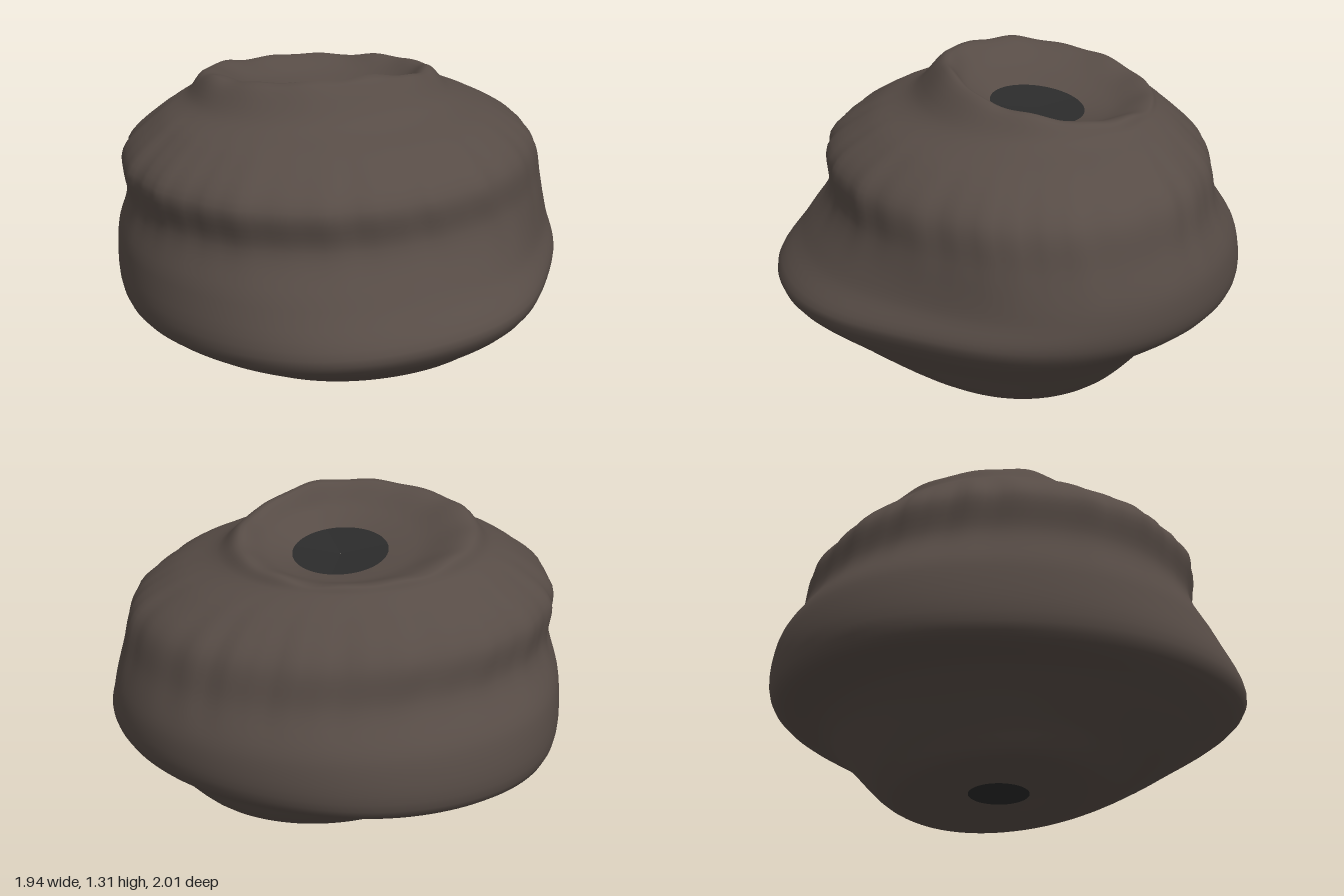
import * as THREE from 'three';

const COLS = 144;
const STEPS = 6;

// Swelling centred on one direction, measured in degrees from the front towards +x.
const bump = (a, deg) => Math.max(0, Math.cos(a - THREE.MathUtils.degToRad(deg))) ** 10;

// Uneven outline seen from above.
const outline = (a) => 0.045 * bump(a, -35) - 0.075 * bump(a, 48) - 0.025 * bump(a, 142)
  + 0.025 * bump(a, 215) - 0.025 * bump(a, 248);

// One tilted oval cross-section; lobe sets how strongly it follows the uneven outline.
function ring({ rx, rz = rx, cx = 0, cz = 0, y, tx = 0, tz = 0, lobe = 0 }) {
  return Array.from({ length: COLS }, (_, j) => {
    const a = (j / COLS) * Math.PI * 2;
    const k = 1 + lobe * outline(a);
    const s = Math.sin(a), c = Math.cos(a);
    return new THREE.Vector3(cx + rx * k * s, y + tx * s + tz * c, cz + rz * k * c);
  });
}

// Smooth skin through a stack of rings, ordered from the underside up and over.
function loft(rings, shape) {
  const rows = (rings.length - 1) * STEPS;
  const positions = new Float32Array((rows + 1) * COLS * 3);
  const index = [];
  for (let j = 0; j < COLS; j++) {
    const column = new THREE.CatmullRomCurve3(rings.map((r) => r[j]));
    for (let i = 0; i <= rows; i++) {
      const p = column.getPoint(i / rows);
      if (shape) shape(p, i / STEPS, (j / COLS) * Math.PI * 2);
      p.toArray(positions, (i * COLS + j) * 3);
      if (i === rows) continue;
      const a = i * COLS + j, b = i * COLS + ((j + 1) % COLS);
      index.push(a, b, b + COLS, a, b + COLS, a + COLS);
    }
  }
  const geometry = new THREE.BufferGeometry();
  geometry.setAttribute('position', new THREE.BufferAttribute(positions, 3));
  geometry.setIndex(index);
  geometry.computeVertexNormals();
  return geometry;
}

// Vertical pleats around the crown, and a ragged crater lip with a peak at the front.
function weather(p, level, a) {
  const crown = Math.max(0, 1 - Math.abs(level - 7.1) / 1.8);
  const wave = Math.sin(19 * a + 2 * Math.sin(3 * a)) + 0.7 * Math.sin(37 * a + 1.5 * Math.sin(5 * a));
  const k = 1 + 0.007 * crown * wave;
  p.x *= k;
  p.z *= k;
  const lip = Math.max(0, 1 - Math.abs(level - 10) / 0.8);
  p.y += lip * (0.004 * (Math.sin(7 * a) + Math.sin(12 * a + 1)) + 0.025 * bump(a, -3));
}

export function createModel() {
  const group = new THREE.Group();
  const stone = new THREE.MeshStandardMaterial({ color: 0x574c46 });
  stone.name = 'brown stone';
  const dark = new THREE.MeshStandardMaterial({ color: 0x2b2b2b });
  dark.name = 'dark opening';

  const add = (name, geometry, material) => {
    const mesh = new THREE.Mesh(geometry, material);
    mesh.name = name;
    group.add(mesh);
  };

  const lowerHole = ring({ rx: 0.13, cx: 0.05, y: 0.035 });
  const upperHole = ring({ rx: 0.2, cx: 0.01, cz: -0.12, y: 1.125, tx: -0.02, tz: 0.02 });

  const body = [
    lowerHole,
    // Foot and underside
    ring({ rx: 0.45, rz: 0.34, cz: -0.06, y: 0.006 }),
    ring({ rx: 0.59, rz: 0.53, y: 0.08, tx: -0.035, lobe: 0.3 }),
    ring({ rx: 0.79, rz: 0.76, y: 0.24, tz: -0.03, lobe: 1 }),
    // Widest lip and the slope above it
    ring({ rx: 0.96, rz: 0.99, y: 0.375, tx: 0.045, tz: 0.035, lobe: 1 }),
    ring({ rx: 0.97, rz: 0.93, cz: -0.06, y: 0.57, lobe: 0.9 }),
    // Waist, crown edge and shoulder
    ring({ rx: 0.92, rz: 0.82, cz: -0.06, y: 0.76, lobe: 0.4 }),
    ring({ rx: 0.9, rz: 0.8, cx: -0.035, cz: -0.05, y: 0.93, lobe: 0.4 }),
    ring({ rx: 0.74, rz: 0.66, cx: -0.03, cz: -0.07, y: 1.065, tx: -0.015 }),
    ring({ rx: 0.575, rz: 0.52, cx: -0.05, cz: -0.12, y: 1.145, tx: -0.01, tz: 0.005 }),
    // Crater lip and bowl
    ring({ rx: 0.485, rz: 0.43, cx: -0.035, cz: -0.18, y: 1.225, tx: -0.03, tz: 0.055 }),
    ring({ rx: 0.325, rz: 0.31, cz: -0.14, y: 1.165, tx: -0.02, tz: 0.04 }),
    upperHole,
  ];
  add('body', loft(body, weather), stone);

  // Shallow dark dishes closing the two openings
  const upperFloor = ring({ rx: 0.001, cx: 0.01, cz: -0.12, y: 1.11 });
  const lowerFloor = ring({ rx: 0.001, cx: 0.05, y: 0.045 });
  add('upperOpening', loft([upperHole, upperFloor]), dark);
  add('lowerOpening', loft([lowerFloor, lowerHole]), dark);
  return group;
}
